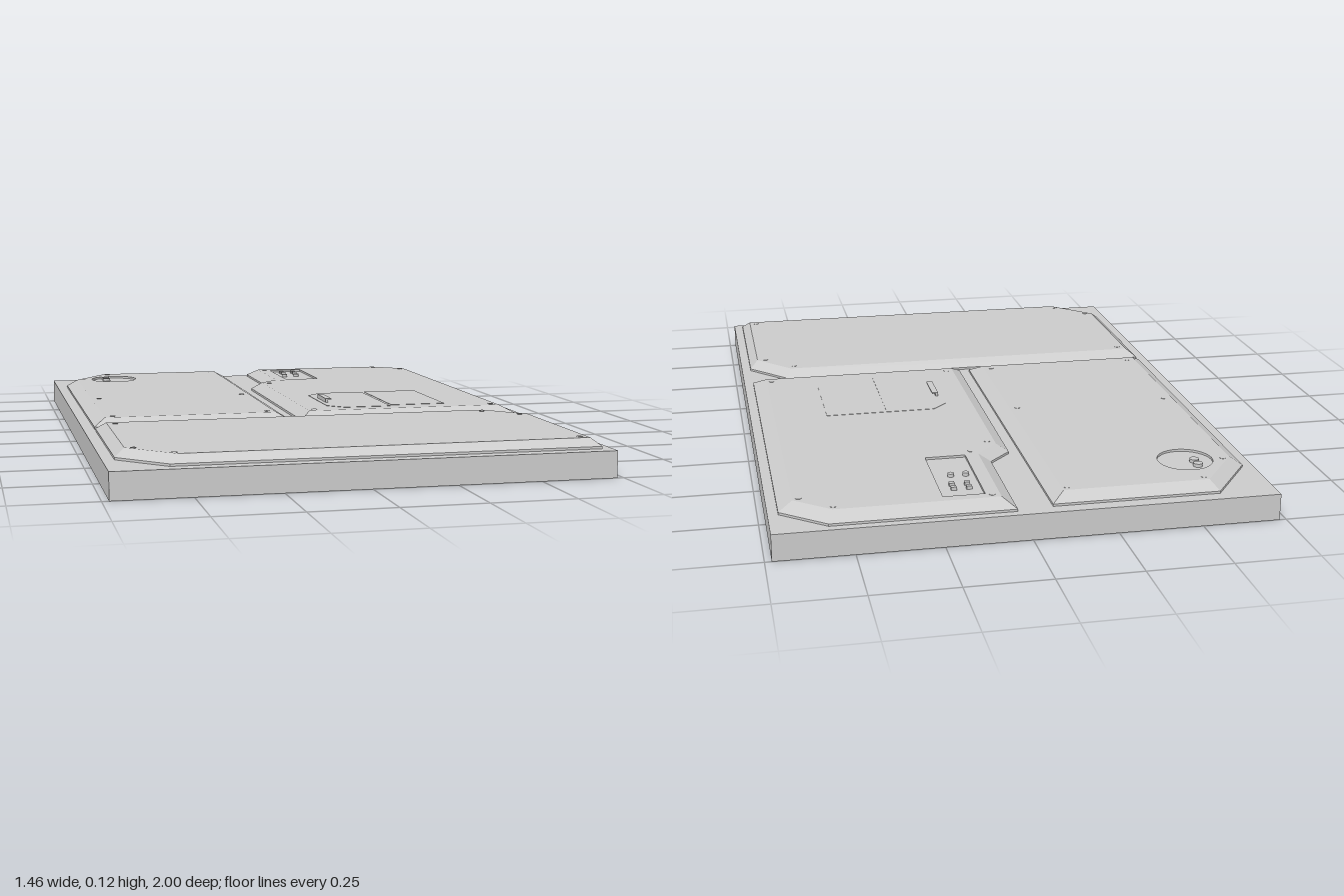
import * as THREE from 'three';

const BASE = 0.08, STEP = 0.087, TOP = 0.11, FLOOR = 0.103;
const material = new THREE.MeshStandardMaterial({ color: 0xcccccc, flatShading: true });

function add(parent, name, geometry, x = 0, y = 0, z = 0) {
  const mesh = new THREE.Mesh(geometry, material);
  mesh.name = name;
  mesh.position.set(x, y, z);
  parent.add(mesh);
  return mesh;
}

// Moves each edge of an [x, z] outline inwards by its own width.
function inset(points, widths) {
  const n = points.length;
  const lines = points.map(([x, z], i) => {
    const [x2, z2] = points[(i + 1) % n];
    const l = Math.hypot(x2 - x, z2 - z);
    const nx = -(z2 - z) / l, nz = (x2 - x) / l;
    return [nx, nz, nx * x + nz * z + widths[i]];
  });
  return lines.map(([c, d, f], i) => {
    const [a, b, e] = lines[(i + n - 1) % n];
    const det = a * d - b * c;
    return [(e * d - b * f) / det, (a * f - e * c) / det];
  });
}

// Side walls through a stack of { points, y } rings.
function walls(rings) {
  const v = [];
  for (let r = 0; r + 1 < rings.length; r++) {
    const lo = rings[r], hi = rings[r + 1], n = lo.points.length;
    for (let i = 0; i < n; i++) {
      const j = (i + 1) % n;
      const at = (ring, k) => [ring.points[k][0], ring.y, ring.points[k][1]];
      const a = at(lo, i), b = at(hi, i), c = at(hi, j), d = at(lo, j);
      v.push(...a, ...b, ...c, ...a, ...c, ...d);
    }
  }
  const g = new THREE.BufferGeometry();
  g.setAttribute('position', new THREE.Float32BufferAttribute(v, 3));
  g.computeVertexNormals();
  return g;
}

// Flat upward face of an outline, with optional holes.
function cap(points, y, holes = []) {
  const vec = (list) => list.map(([x, z]) => new THREE.Vector2(x, -z));
  const shape = new THREE.Shape(vec(points));
  holes.forEach((h) => shape.holes.push(new THREE.Path(vec(h))));
  return new THREE.ShapeGeometry(shape).rotateX(-Math.PI / 2).translate(0, y, 0);
}

// Bevelled armour plate with recesses and flush rivets.
function plate(parent, name, outline, widths, rivets, recesses = []) {
  const group = new THREE.Group();
  group.name = name;
  parent.add(group);
  const inner = inset(outline, widths);
  add(group, name + 'Bevel', walls([
    { points: outline, y: BASE }, { points: outline, y: STEP }, { points: inner, y: TOP },
  ]));
  add(group, name + 'Top', cap(inner, TOP, recesses));
  recesses.forEach((hole) => {
    const back = [...hole].reverse();
    add(group, 'recessWall', walls([{ points: back, y: FLOOR }, { points: back, y: TOP }]));
    add(group, 'recessFloor', cap(hole, FLOOR));
  });
  rivets.forEach(([x, z]) =>
    add(group, 'rivet', new THREE.CylinderGeometry(0.009, 0.009, 0.001, 10), x, TOP + 0.0005, z));
  return group;
}

const rect = (x1, z1, x2, z2) => [[x1, z1], [x2, z1], [x2, z2], [x1, z2]];

export function createModel() {
  const model = new THREE.Group();
  model.name = 'floorPanel';

  add(model, 'baseSlab', new THREE.BoxGeometry(1.46, BASE, 2), 0, BASE / 2, 0);

  // Rear plate on the right, with a round recess
  const circle = Array.from({ length: 32 }, (_, i) => {
    const a = i / 32 * Math.PI * 2;
    return [-0.52 + 0.083 * Math.cos(a), -0.76 + 0.083 * Math.sin(a)];
  });
  const rightPlate = plate(model, 'rightPlate',
    [[-0.56, -0.96], [-0.065, -0.96], [-0.065, 0.267], [-0.695, 0.267], [-0.695, -0.78]],
    [0.04, 0.04, 0.04, 0.037, 0.04],
    [[-0.53, -0.9], [-0.12, -0.9], [-0.13, -0.22], [-0.13, 0.2], [-0.63, 0.2], [-0.63, -0.22], [-0.635, -0.77]],
    [circle]);
  for (const z of [-0.8, -0.765])
    add(rightPlate, 'button', new THREE.CylinderGeometry(0.014, 0.014, 0.113 - FLOOR, 16),
      -0.547, (0.113 + FLOOR) / 2, z);

  // Rear plate on the left, with a stepped edge and a socket recess
  const leftPlate = plate(model, 'leftPlate',
    [[0.04, -0.975], [0.57, -0.975], [0.7, -0.87], [0.7, 0.267], [-0.03, 0.267], [-0.03, -0.54], [0.04, -0.61]],
    [0.045, 0.045, 0.042, 0.04, 0.037, 0.037, 0.037],
    [[0.55, -0.91], [0.64, -0.835], [0.64, 0.2], [0.03, 0.2], [0.03, -0.5], [0.095, -0.57], [0.1, -0.91]],
    [rect(0.118, -0.9, 0.24, -0.6)]);

  // Socket contacts and knobs
  for (const x of [0.153, 0.198]) {
    for (const z of [-0.84, -0.81])
      add(leftPlate, 'contact', new THREE.BoxGeometry(0.016, 0.113 - FLOOR, 0.014),
        x, (0.113 + FLOOR) / 2, z);
    add(leftPlate, 'knob', new THREE.CylinderGeometry(0.01, 0.01, 0.113 - FLOOR, 12),
      x - 0.01, (0.113 + FLOOR) / 2, -0.74);
  }

  // Flush hatch: a cut-corner door and its sliding panel
  const hatch = new THREE.Group();
  hatch.name = 'hatch';
  leftPlate.add(hatch);
  const door = [[0.14, -0.18], [0.295, -0.18], [0.295, 0.18], [0.14, 0.18], [0.09, 0.13], [0.09, -0.13]];
  const slide = rect(0.305, -0.18, 0.49, 0.16);
  for (const [name, points] of [['hatchDoor', door], ['hatchSlide', slide]]) {
    add(hatch, name + 'Rim', walls([{ points, y: TOP }, { points, y: TOP + 0.001 }]));
    add(hatch, name, cap(points, TOP + 0.001));
  }

  // Hooked hatch handle
  add(hatch, 'handleWeb', new THREE.BoxGeometry(0.008, 0.013, 0.116), 0.109, 0.1165, -0.002);
  add(hatch, 'handleLip', new THREE.BoxGeometry(0.02, 0.004, 0.116), 0.115, 0.122, -0.002);

  // Front plate across the full width
  plate(model, 'frontPlate',
    [[-0.695, 0.295], [0.58, 0.295], [0.7, 0.425], [0.7, 0.96], [-0.56, 0.96], [-0.695, 0.825]],
    [0.037, 0.037, 0.027, 0.027, 0.037, 0.03],
    [[-0.64, 0.36], [0.55, 0.36], [0.645, 0.45], [0.65, 0.91], [-0.54, 0.91], [-0.64, 0.81]]);

  return model;
}
